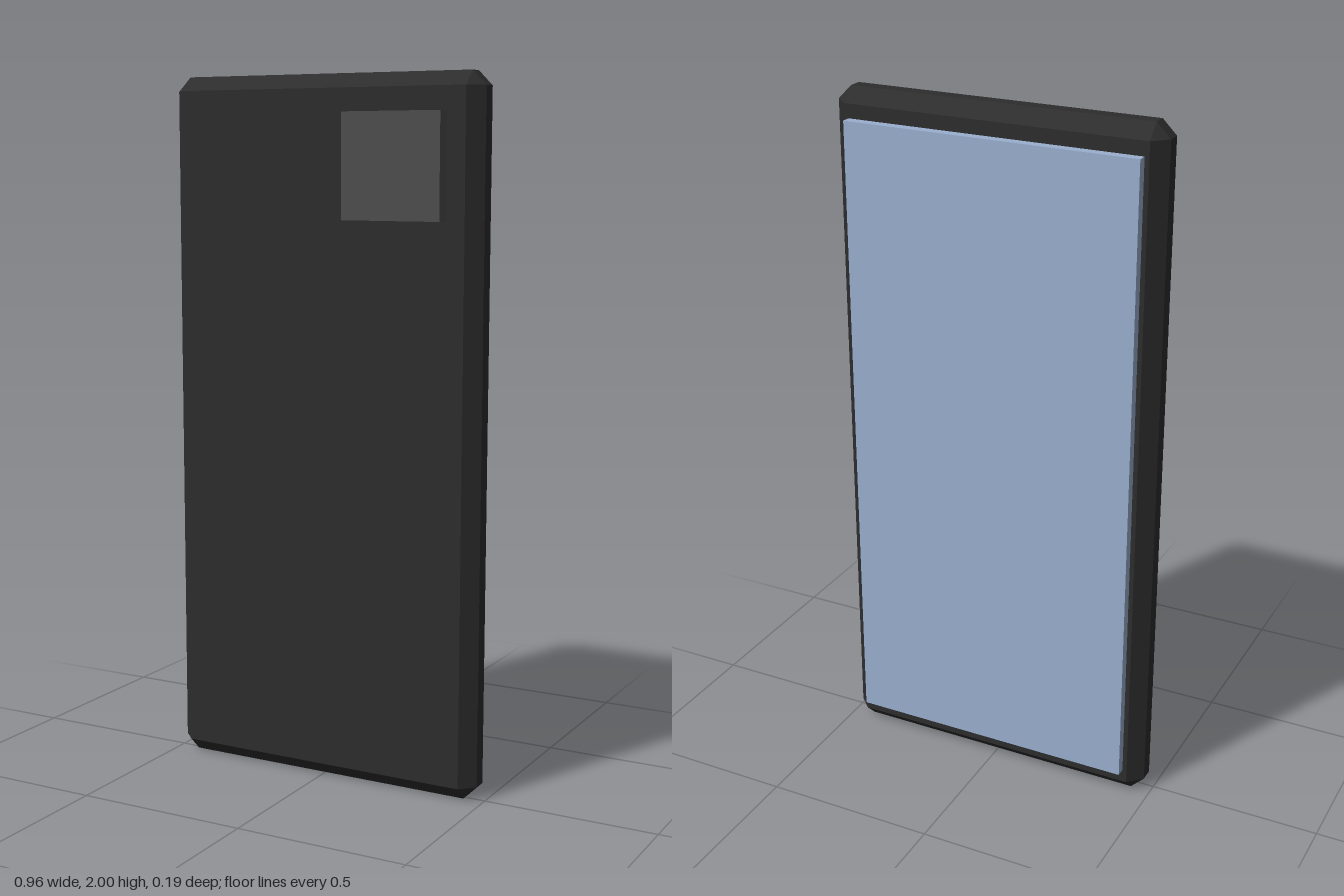
import * as THREE from 'three';
import { ConvexGeometry } from 'three/addons/geometries/ConvexGeometry.js';

// Box with every edge cut at 45 degrees, centred on the origin
function chamferedBox(w, h, d, c) {
  const points = [];
  for (const x of [-w / 2, w / 2])
    for (const y of [-h / 2, h / 2])
      for (const z of [-d / 2, d / 2]) {
        const cx = x - Math.sign(x) * c, cy = y - Math.sign(y) * c, cz = z - Math.sign(z) * c;
        points.push(new THREE.Vector3(x, cy, cz), new THREE.Vector3(cx, y, cz), new THREE.Vector3(cx, cy, z));
      }
  return new ConvexGeometry(points);
}

export function createModel() {
  const group = new THREE.Group();
  const material = (name, color) => new THREE.MeshStandardMaterial({ name, color });
  const add = (name, geometry, mat, x, y, z) => {
    const mesh = new THREE.Mesh(geometry, mat);
    mesh.name = name;
    mesh.position.set(x, y, z);
    group.add(mesh);
  };

  // Slab body with bevelled edges
  add('body', chamferedBox(0.96, 2, 0.12, 0.04), material('black casing', 0x2d2d2d), 0, 1, -0.008);

  // Raised screen on the back face
  add('screen', new THREE.BoxGeometry(0.854, 1.84, 0.04), material('blue glass', 0x9ab0cf), 0, 1, -0.076);

  // Square camera block on the front face
  add('cameraBlock', new THREE.BoxGeometry(0.293, 0.29, 0.06), material('grey camera', 0x4e4e4e), 0.2385, 1.75, 0.062);

  return group;
}
